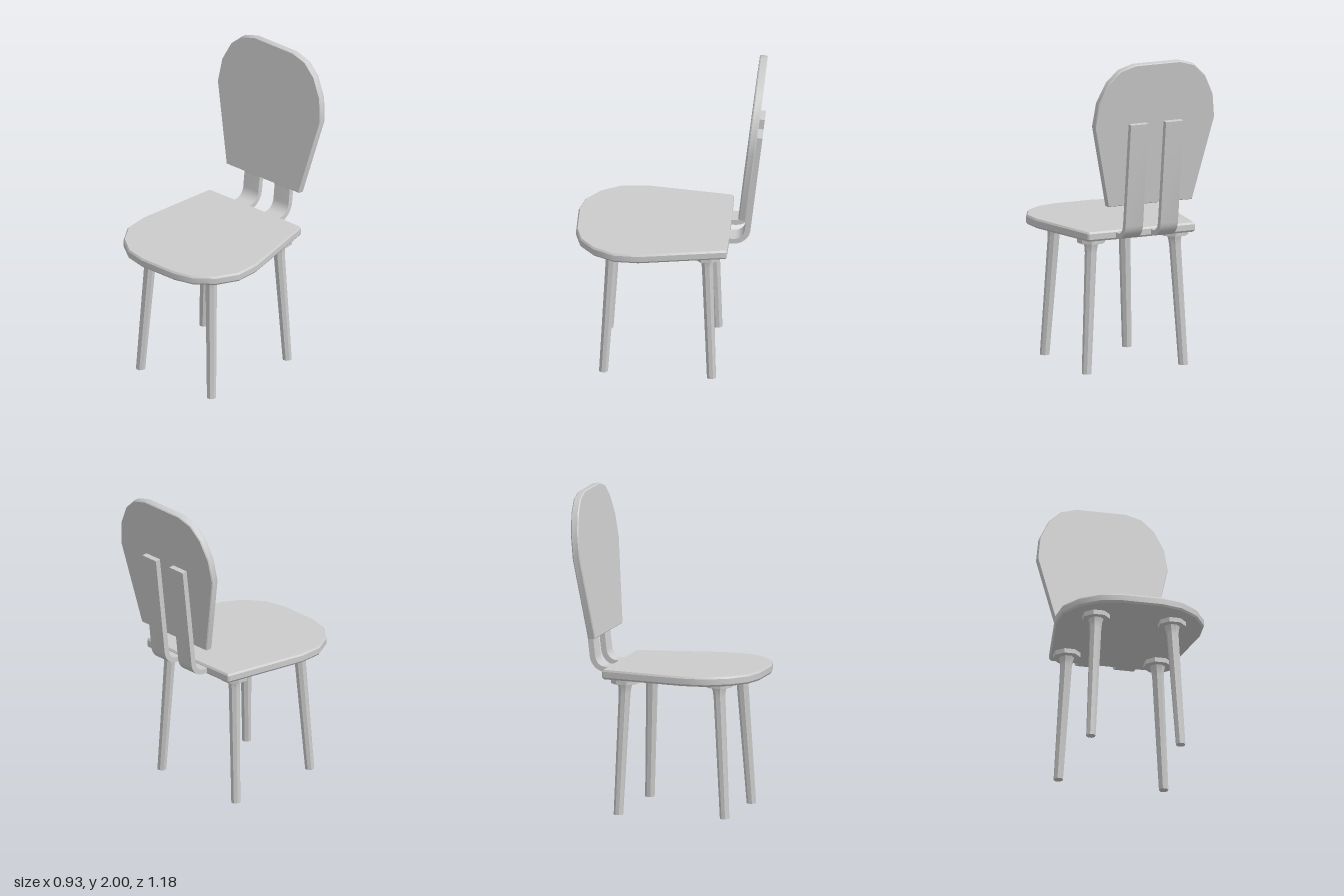
import * as THREE from 'three';
import { toCreasedNormals } from 'three/addons/utils/BufferGeometryUtils.js';

const material = new THREE.MeshStandardMaterial({ color: 0xcccccc });

function part(name, geometry) {
  const mesh = new THREE.Mesh(toCreasedNormals(geometry, 0.6), material);
  mesh.name = name;
  return mesh;
}

// Symmetric chamfered panel from its right-hand outline, occupying z = 0..thickness
function panel(half, thickness, bevel) {
  const left = half.map(([x, y]) => [-x, y]).reverse();
  const shape = new THREE.Shape([...half, ...left].map(([x, y]) => new THREE.Vector2(x, y)));
  const geometry = new THREE.ExtrudeGeometry(shape, {
    depth: thickness - 2 * bevel, bevelThickness: bevel, bevelSize: bevel * 0.7,
    bevelOffset: -bevel * 0.7, bevelSegments: 1,
  });
  return geometry.translate(0, 0, bevel);
}

// Bent support strip: side profile extruded across its width
function strip(width) {
  const s = new THREE.Shape();
  s.moveTo(0.34, 0.867);
  s.lineTo(0.4, 0.867);
  s.bezierCurveTo(0.45, 0.867, 0.493, 0.907, 0.501, 0.957);
  s.lineTo(0.577, 1.614);
  s.lineTo(0.542, 1.618);
  s.lineTo(0.466, 0.962);
  s.bezierCurveTo(0.461, 0.927, 0.435, 0.9, 0.4, 0.9);
  s.lineTo(0.34, 0.9);
  s.closePath();
  const geometry = new THREE.ExtrudeGeometry(s, { depth: width, bevelEnabled: false, curveSegments: 8 });
  return geometry.rotateY(Math.PI / 2).translate(-width / 2, 0, 0);
}

// Octagonal tapered leg, sheared from its foot to its top
function leg(foot, top) {
  const height = 0.835;
  const profile = [[0, 0], [0.03, 0], [0.037, 0.76], [0.041, 0.8], [0.052, height]]
    .map(([r, y]) => new THREE.Vector2(r, y));
  const geometry = new THREE.LatheGeometry(profile, 8, Math.PI / 8);
  const p = geometry.attributes.position;
  for (let i = 0; i < p.count; i++) {
    const t = p.getY(i) / height;
    p.setX(i, p.getX(i) + THREE.MathUtils.lerp(foot[0], top[0], t));
    p.setZ(i, p.getZ(i) + THREE.MathUtils.lerp(foot[1], top[1], t));
  }
  return geometry;
}

export function createModel() {
  const chair = new THREE.Group();
  chair.name = 'chair';

  // Seat, laid flat with its rounded end at the front
  const seat = part('seat', panel([
    [0.18, -0.368], [0.366, -0.365], [0.374, -0.357], [0.463, 0.183],
    [0.453, 0.337], [0.377, 0.468], [0.263, 0.556], [0.13, 0.588],
  ], 0.06, 0.012).rotateX(Math.PI / 2));
  seat.position.y = 0.915;
  chair.add(seat);

  // Backrest, leaning backwards
  const backrest = part('backrest', panel([
    [0.293, 0], [0.417, 0.527], [0.398, 0.679], [0.337, 0.807], [0.257, 0.883], [0.155, 0.913],
  ], 0.049, 0.007).translate(0, 0, -0.049));
  backrest.position.set(0, 1.094, -0.431);
  backrest.rotation.x = -0.119;
  chair.add(backrest);

  for (const side of [1, -1]) {
    const label = side > 0 ? 'left' : 'right';

    // Strips joining seat and backrest
    const support = part(label + 'BackSupport', strip(0.122));
    support.position.x = side * 0.122;
    chair.add(support);

    // Legs with octagonal mounting plates
    for (const [end, foot, top] of [
      ['Front', [0.287, 0.408], [0.243, 0.358]],
      ['Rear', [0.337, -0.268], [0.29, -0.238]],
    ]) {
      chair.add(part(label + end + 'Leg', leg([side * foot[0], foot[1]], [side * top[0], top[1]])));
      const plate = part(label + end + 'LegPlate',
        new THREE.CylinderGeometry(0.088, 0.088, 0.034, 8).rotateY(Math.PI / 8));
      plate.position.set(side * top[0], 0.842, top[1]);
      chair.add(plate);
    }
  }
  return chair;
}
